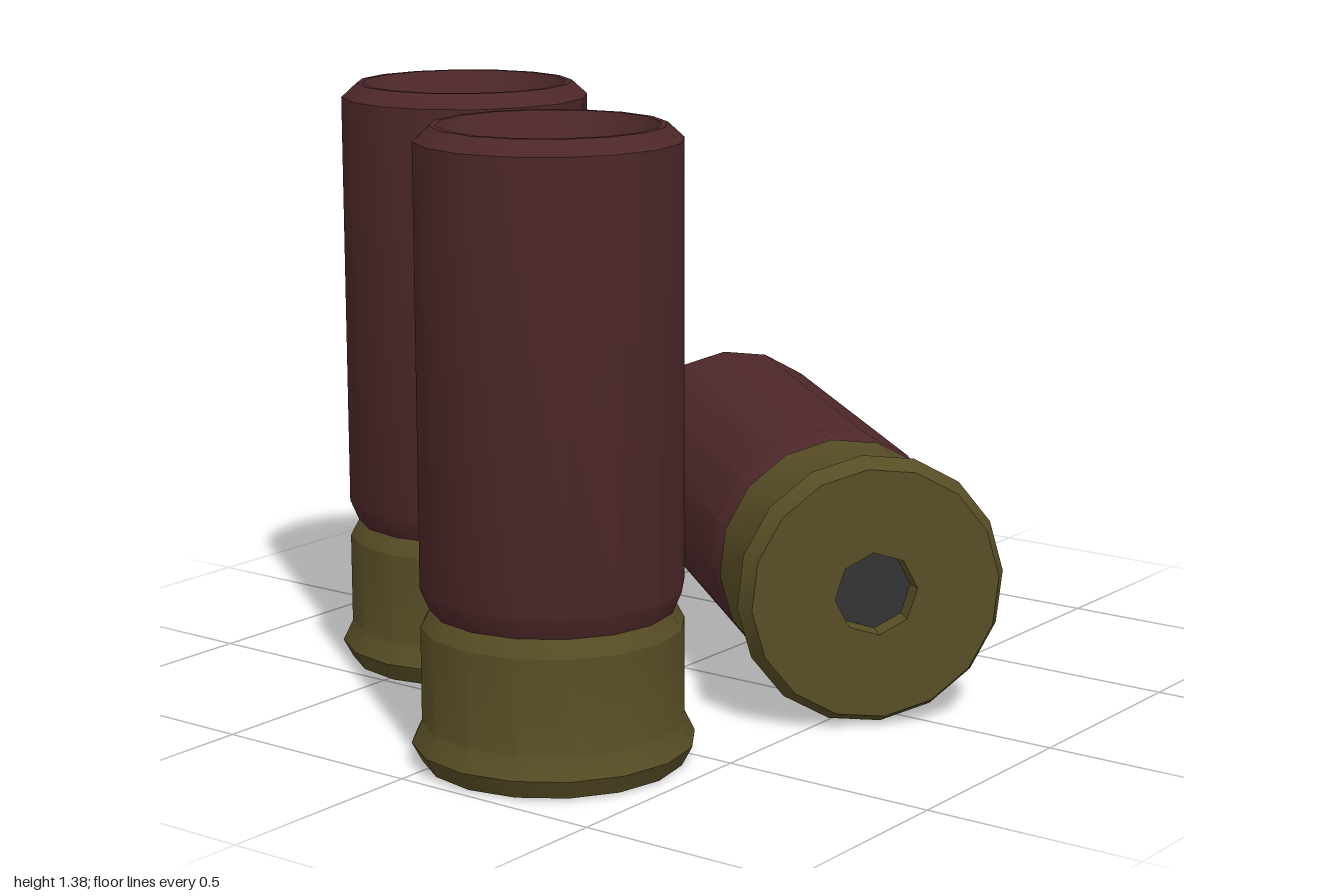
import * as THREE from 'three';
import { toCreasedNormals } from 'three/addons/utils/BufferGeometryUtils.js';

const SIDES = 16;

function flat(name, color) {
  const m = new THREE.MeshStandardMaterial({ color });
  m.name = name;
  return m;
}

// Turned part from [radius, height] pairs, with crisp edges between bands
function turned(points, sides = SIDES) {
  const lathe = new THREE.LatheGeometry(points.map(([r, y]) => new THREE.Vector2(r, y)), sides);
  return toCreasedNormals(lathe, 0.45);
}

function ring(radius, sides) {
  return Array.from({ length: sides }, (_, i) => {
    const a = (i / sides) * Math.PI * 2;
    return new THREE.Vector2(Math.sin(a) * radius, Math.cos(a) * radius);
  });
}

export function createModel() {
  const red = flat('dark red hull', 0x4d2729);
  const brass = flat('dull brass', 0x574d25);
  const grey = flat('dark grey', 0x333333);

  // Brass head with a flared rim and a chamfered shoulder
  const headGeo = turned([
    [0.285, 0], [0.308, 0.043], [0.285, 0.09], [0.285, 0.3], [0.265, 0.338],
  ]);

  // Underside of the head, pierced by an octagonal pocket
  const baseShape = new THREE.Shape(ring(0.285, SIDES));
  baseShape.holes.push(new THREE.Path(ring(0.095, 8)));
  const baseGeo = new THREE.ShapeGeometry(baseShape).rotateX(Math.PI / 2);
  const pocketGeo = turned([[0.09, 0.04], [0.095, 0]], 8);
  const primerGeo = new THREE.CircleGeometry(0.09, 8).rotateX(Math.PI / 2).translate(0, 0.04, 0);

  // Hull with chamfered ends and a sloping lip into the mouth
  const hullGeo = turned([
    [0.265, 0.338], [0.285, 0.385], [0.285, 1.343], [0.25, 1.375], [0.237, 1.375], [0.204, 1.315],
  ]);
  const mouthGeo = new THREE.CircleGeometry(0.206, SIDES).rotateX(-Math.PI / 2).translate(0, 1.316, 0);

  const parts = [
    ['brassHead', headGeo, brass],
    ['headBase', baseGeo, brass],
    ['primerPocket', pocketGeo, brass],
    ['primer', primerGeo, grey],
    ['hull', hullGeo, red],
    ['mouthDisc', mouthGeo, grey],
  ];
  // Pocket is seen from within
  pocketGeo.index = null;

  function shell(name, x, y, z) {
    const g = new THREE.Group();
    g.name = name;
    for (const [part, geo, mat] of parts) {
      const mesh = new THREE.Mesh(geo, mat);
      mesh.name = part;
      g.add(mesh);
    }
    g.position.set(x, y, z);
    return g;
  }

  const model = new THREE.Group();
  model.name = 'cartridges';

  // Two standing, one lying on its side
  const lying = shell('lyingCartridge', -0.105, 0.309, 0.612);
  lying.quaternion.setFromUnitVectors(
    new THREE.Vector3(0, 1, 0),
    new THREE.Vector3(0.649, 0, -0.761).normalize(),
  );
  model.add(
    shell('frontStandingCartridge', -0.693, 0.006, 0.168),
    shell('backStandingCartridge', -0.207, 0.006, -0.477),
    lying,
  );
  return model;
}
